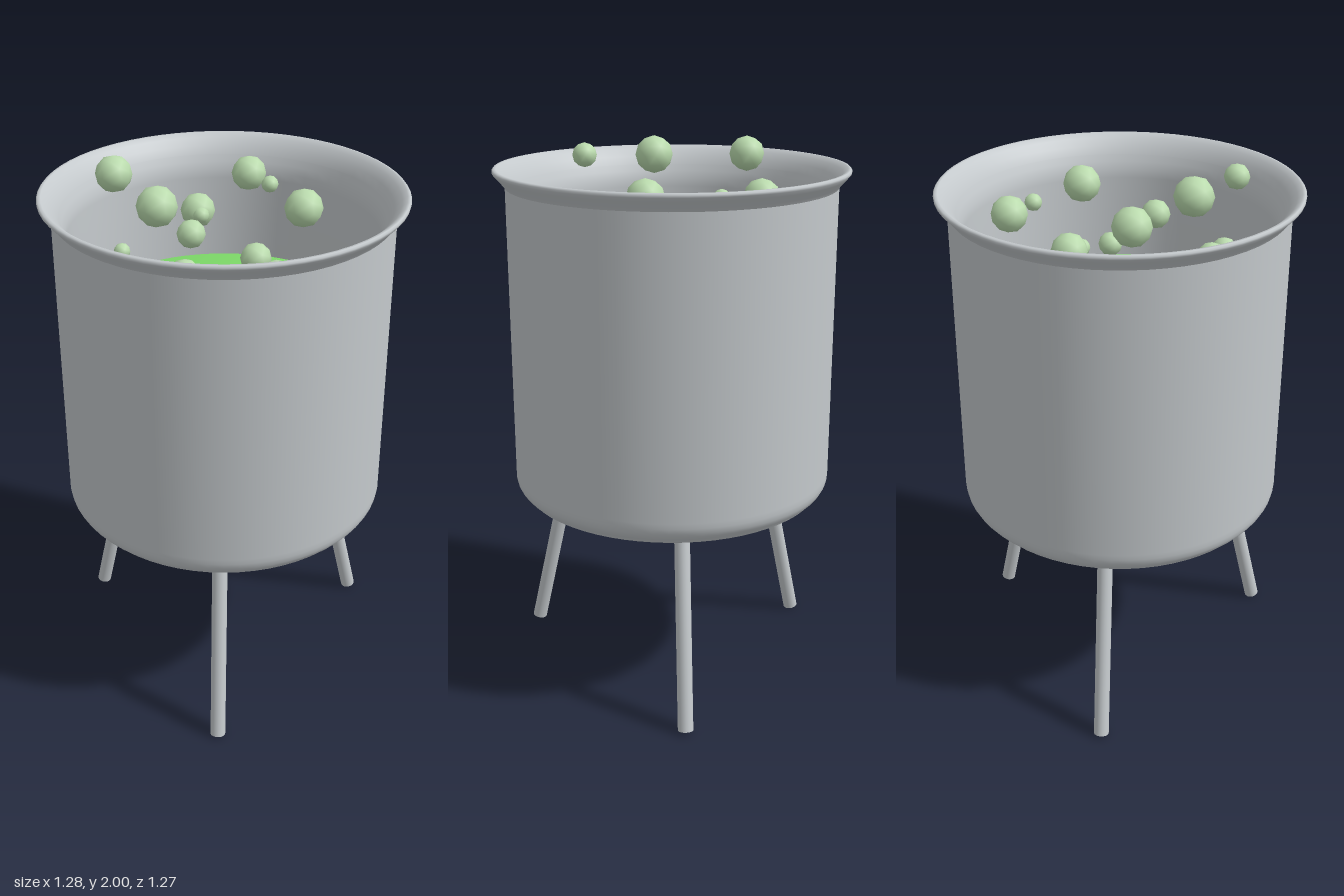
import * as THREE from 'three';

const CX = -0.006; // axis of the pot

export function createModel() {
  const model = new THREE.Group();
  const steel = new THREE.MeshStandardMaterial({ color: 0xc4c9cc });
  steel.name = 'brushed steel';
  const green = new THREE.MeshStandardMaterial({ color: 0x7fdc6a });
  green.name = 'green liquid';
  const paleGreen = new THREE.MeshStandardMaterial({ color: 0xbbdcae });
  paleGreen.name = 'pale green bubble';

  const add = (name, geometry, material, parent = model) => {
    const mesh = new THREE.Mesh(geometry, material);
    mesh.name = name;
    parent.add(mesh);
    return mesh;
  };
  // Turned part from [radius, height] pairs, outside on the right of the path
  const turned = (name, profile, material) => {
    const points = profile.map(([r, y]) => new THREE.Vector2(r, y));
    add(name, new THREE.LatheGeometry(points, 64), material).position.x = CX;
  };

  // Pot, from the recessed underside up the wall, over the rim and down inside
  turned('potUnderside', [[0, 0.715], [0.035, 0.735], [0.04, 0.74], [0.5, 0.74]], steel);
  turned('footRing', [
    [0.5, 0.74], [0.505, 0.718], [0.52, 0.708], [0.54, 0.708],
    [0.553, 0.716], [0.556, 0.732], [0.575, 0.735],
  ], steel);
  turned('potWall', [
    [0.572, 0.735], [0.58, 0.745], [0.588, 0.76], [0.592, 0.78], [0.592, 0.8],
    [0.592, 1.83], [0.592, 1.86],
  ], steel);
  turned('rim', [
    [0.592, 1.86], [0.6, 1.872], [0.622, 1.896], [0.634, 1.91], [0.635, 1.918],
    [0.63, 1.924], [0.62, 1.924], [0.603, 1.91], [0.58, 1.885], [0.566, 1.855],
  ], steel);
  turned('potInterior', [
    [0.566, 1.855], [0.555, 1.83], [0.545, 1.8], [0.543, 1.77],
    [0.535, 1.47], [0.535, 0.8], [0.5, 0.765], [0, 0.765],
  ], steel);

  // Liquid with a softly shaded edge
  turned('liquid', [[0.531, 1.35], [0.531, 1.46], [0, 1.46]], green);

  // Three splayed legs: [top, foot]
  const up = new THREE.Vector3(0, 1, 0);
  const legs = [
    [[0.425, 0.75, 0], [0.607, 0.007, 0]],
    [[-0.225, 0.75, 0.38], [-0.318, 0.006, 0.535]],
    [[-0.225, 0.75, -0.38], [-0.318, 0.006, -0.535]],
  ];
  legs.forEach(([a, b], i) => {
    const top = new THREE.Vector3(...a);
    const foot = new THREE.Vector3(...b);
    const axis = top.clone().sub(foot);
    const leg = add(`leg${i + 1}`, new THREE.CylinderGeometry(0.028, 0.028, axis.length(), 16), steel);
    leg.position.copy(top).add(foot).multiplyScalar(0.5);
    leg.quaternion.setFromUnitVectors(up, axis.normalize());
  });

  // Bubbles rising in layers: [x, y, z, radius]
  const bubbles = new THREE.Group();
  bubbles.name = 'bubbles';
  model.add(bubbles);
  const ball = new THREE.IcosahedronGeometry(1, 1);
  [
    [-0.28, 1.93, -0.305, 0.066], [-0.28, 1.93, 0.045, 0.07], [-0.285, 1.93, 0.305, 0.046],
    [0.25, 1.85, -0.285, 0.064], [0.26, 1.85, -0.147, 0.031], [0.247, 1.85, 0.11, 0.068],
    [0.02, 1.76, -0.25, 0.063], [0.007, 1.76, -0.2, 0.03], [-0.003, 1.757, 0.22, 0.053],
    [-0.285, 1.66, -0.25, 0.03], [-0.28, 1.675, 0.168, 0.053], [-0.275, 1.67, 0.258, 0.047],
    [0.254, 1.56, 0.288, 0.046], [-0.007, 1.48, -0.315, 0.064], [0.26, 1.5, -0.09, 0.072],
    [0.003, 1.5, -0.02, 0.07], [0.014, 1.5, 0.302, 0.048],
  ].forEach(([x, y, z, r], i) => {
    const bubble = add(`bubble${i + 1}`, ball, paleGreen, bubbles);
    bubble.position.set(x, y, z);
    bubble.scale.setScalar(r);
  });

  return model;
}
